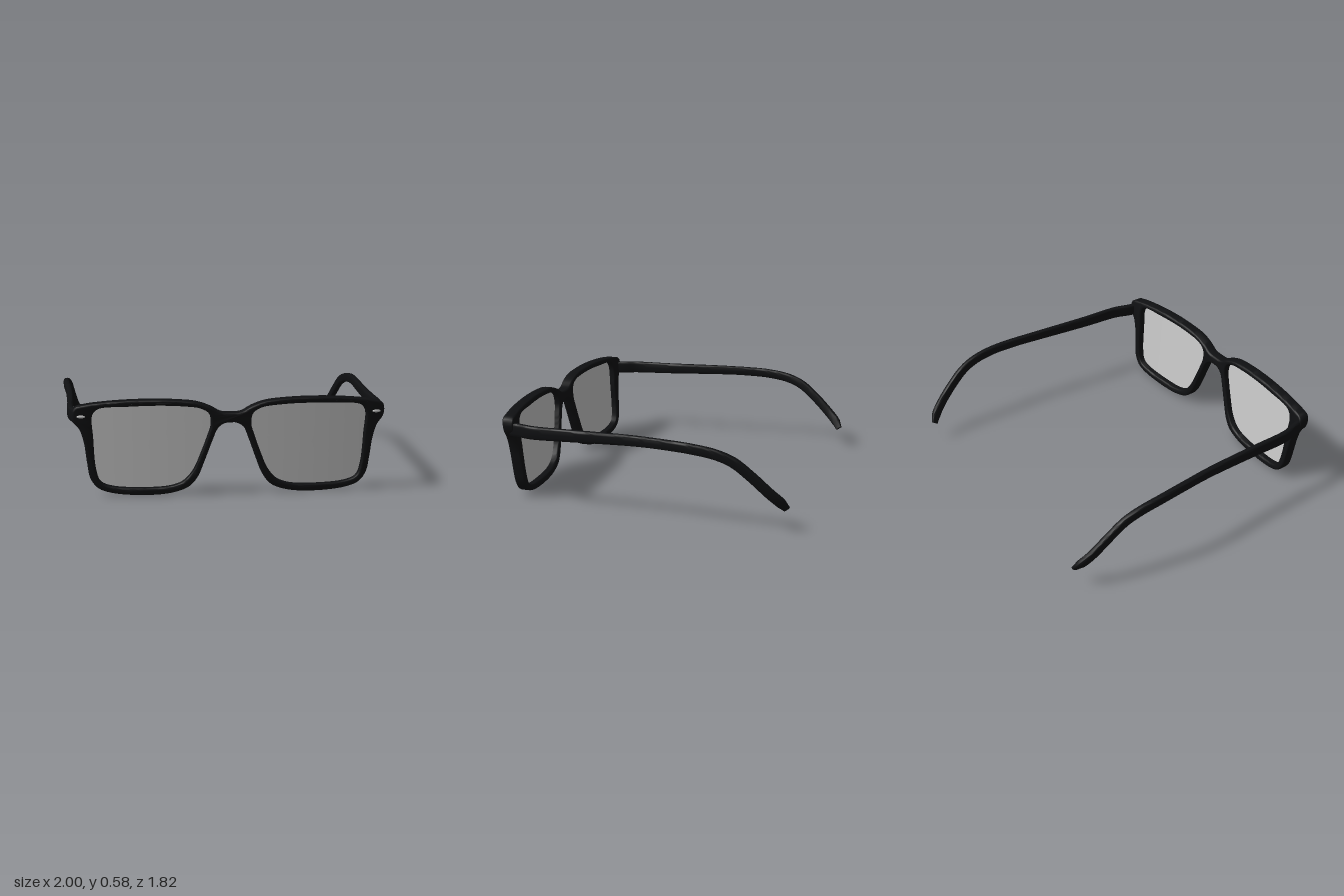
import * as THREE from 'three';
import { toCreasedNormals } from 'three/addons/utils/BufferGeometryUtils.js';

const black = new THREE.MeshStandardMaterial({ color: 0x0f1012 });
const grey = new THREE.MeshStandardMaterial({ color: 0xcccccc });
const lensGrey = new THREE.MeshStandardMaterial({ color: 0xcccccc, side: THREE.DoubleSide });

// Half of the frame outline, clockwise from the bridge top round to the bridge underside
const OUTER = [
  [0, 0.497], [0.06, 0.502], [0.12, 0.535], [0.2, 0.563], [0.32, 0.576], [0.5, 0.58], [0.7, 0.57],
  [0.85, 0.551], [0.905, 0.535], [0.918, 0.5], [0.91, 0.45], [0.878, 0.405], [0.855, 0.33],
  [0.838, 0.2], [0.822, 0.11], [0.78, 0.05], [0.7, 0.019], [0.5, 0.003], [0.34, 0.017],
  [0.245, 0.053], [0.195, 0.11], [0.152, 0.215], [0.108, 0.335], [0.075, 0.41], [0.035, 0.437], [0, 0.44],
];
// Lens opening, clockwise
const OPENING = [
  [0.118, 0.43], [0.13, 0.495], [0.18, 0.526], [0.28, 0.54], [0.42, 0.546], [0.6, 0.541], [0.77, 0.527],
  [0.803, 0.49], [0.8, 0.35], [0.787, 0.16], [0.762, 0.088], [0.7, 0.06], [0.5, 0.047],
  [0.35, 0.058], [0.275, 0.088], [0.219, 0.155], [0.178, 0.25], [0.138, 0.36],
];
const THICK = 0.075, BEVEL = 0.013;

// Face wrap and forward tilt shared by frame, lenses and rivets
const frontZ = (x, y) => 0.905 - 0.06 * x * x + 0.08 * (y - 0.5);

function bend(geometry) {
  const p = geometry.attributes.position;
  for (let i = 0; i < p.count; i++) p.setZ(i, p.getZ(i) + frontZ(p.getX(i), p.getY(i)));
  return geometry;
}

function closedLoop(points, n) {
  const curve = new THREE.CatmullRomCurve3(points.map(([x, y]) => new THREE.Vector3(x, y, 0)), true);
  return curve.getSpacedPoints(n).slice(0, n).map((v) => new THREE.Vector2(v.x, v.y));
}

const mirrored = (points) => points.map(([x, y]) => [-x, y]);
// Both openings run anticlockwise, against the outline
const opening = (s, n) => closedLoop(s > 0 ? [...OPENING].reverse() : mirrored(OPENING), n);

function makeFrame() {
  const right = mirrored(OUTER.slice(1, -1)).reverse();
  const shape = new THREE.Shape(closedLoop([...OUTER, ...right], 240));
  for (const s of [1, -1]) shape.holes.push(new THREE.Path(opening(s, 110)));
  const geometry = new THREE.ExtrudeGeometry(shape, {
    depth: THICK - 2 * BEVEL, bevelThickness: BEVEL, bevelSize: BEVEL, bevelOffset: -BEVEL, bevelSegments: 4,
  });
  geometry.translate(0, 0, BEVEL - THICK);
  return new THREE.Mesh(toCreasedNormals(bend(geometry), 0.7), black);
}

// Concentric rings shrunk from the opening, so the lens follows the wrap
function makeLens(s) {
  const n = 96, rings = 8;
  const rim = opening(s, n);
  const centre = new THREE.Vector2(s * 0.48, 0.3);
  const geometry = new THREE.RingGeometry(0, 1, n, rings);
  const p = geometry.attributes.position;
  for (let j = 0; j <= rings; j++) {
    for (let i = 0; i <= n; i++) {
      const v = centre.clone().lerp(rim[i % n], (j / rings) * 1.012);
      p.setXYZ(j * (n + 1) + i, v.x, v.y, -THICK * 0.45);
    }
  }
  bend(geometry).computeVertexNormals();
  return new THREE.Mesh(geometry, lensGrey);
}

// Temple centre line, hinge to tip
const TEMPLE = [
  [0.89, 0.467, 0.81], [0.905, 0.468, 0.74], [0.93, 0.469, 0.65], [0.938, 0.474, 0.4], [0.946, 0.48, 0.2],
  [0.957, 0.485, 0], [0.974, 0.484, -0.2], [0.983, 0.476, -0.36], [0.978, 0.454, -0.5],
  [0.967, 0.415, -0.6], [0.953, 0.338, -0.7], [0.93, 0.235, -0.81], [0.903, 0.178, -0.868], [0.875, 0.136, -0.897],
];

// Rounded rectangular bar swept along the centre line
function makeTemple(s) {
  const path = new THREE.CatmullRomCurve3(TEMPLE.map(([x, y, z]) => new THREE.Vector3(s * x, y, z)));
  const geometry = new THREE.CylinderGeometry(1, 1, 1, 24, 70);
  const p = geometry.attributes.position;
  const round = (c) => Math.sign(c) * Math.sqrt(Math.abs(c));
  const xAxis = new THREE.Vector3(1, 0, 0);
  for (let i = 0; i < p.count; i++) {
    const t = THREE.MathUtils.clamp(p.getY(i) + 0.5, 0, 1);
    const tangent = path.getTangentAt(t);
    const up = xAxis.clone().cross(tangent).normalize();
    const side = tangent.clone().cross(up);
    const tip = THREE.MathUtils.smoothstep(t, 0.965, 1);
    const halfWidth = 0.019 * (1 - 0.5 * tip);
    const halfHeight = THREE.MathUtils.lerp(0.042, 0.03, Math.min(1, t * 2)) * (1 - 0.3 * tip);
    const v = path.getPointAt(t)
      .addScaledVector(side, round(p.getX(i)) * halfWidth)
      .addScaledVector(up, round(p.getZ(i)) * halfHeight);
    p.setXYZ(i, v.x, v.y, v.z);
  }
  return new THREE.Mesh(toCreasedNormals(geometry, 0.8), black);
}

// Small oval metal inlay on the end piece
function makeRivet(s) {
  const rivet = new THREE.Mesh(new THREE.SphereGeometry(1, 20, 12), grey);
  rivet.scale.set(0.025, 0.009, 0.005);
  rivet.position.set(s * 0.868, 0.484, frontZ(0.868, 0.484));
  rivet.rotation.y = s * 0.1;
  return rivet;
}

export function createModel() {
  const model = new THREE.Group();
  model.name = 'eyeglasses';
  const add = (name, mesh) => { mesh.name = name; model.add(mesh); };
  add('frontFrame', makeFrame());
  for (const [side, s] of [['left', 1], ['right', -1]]) {
    add(side + 'Lens', makeLens(s));
    add(side + 'Temple', makeTemple(s));
    add(side + 'Rivet', makeRivet(s));
  }
  return model;
}
